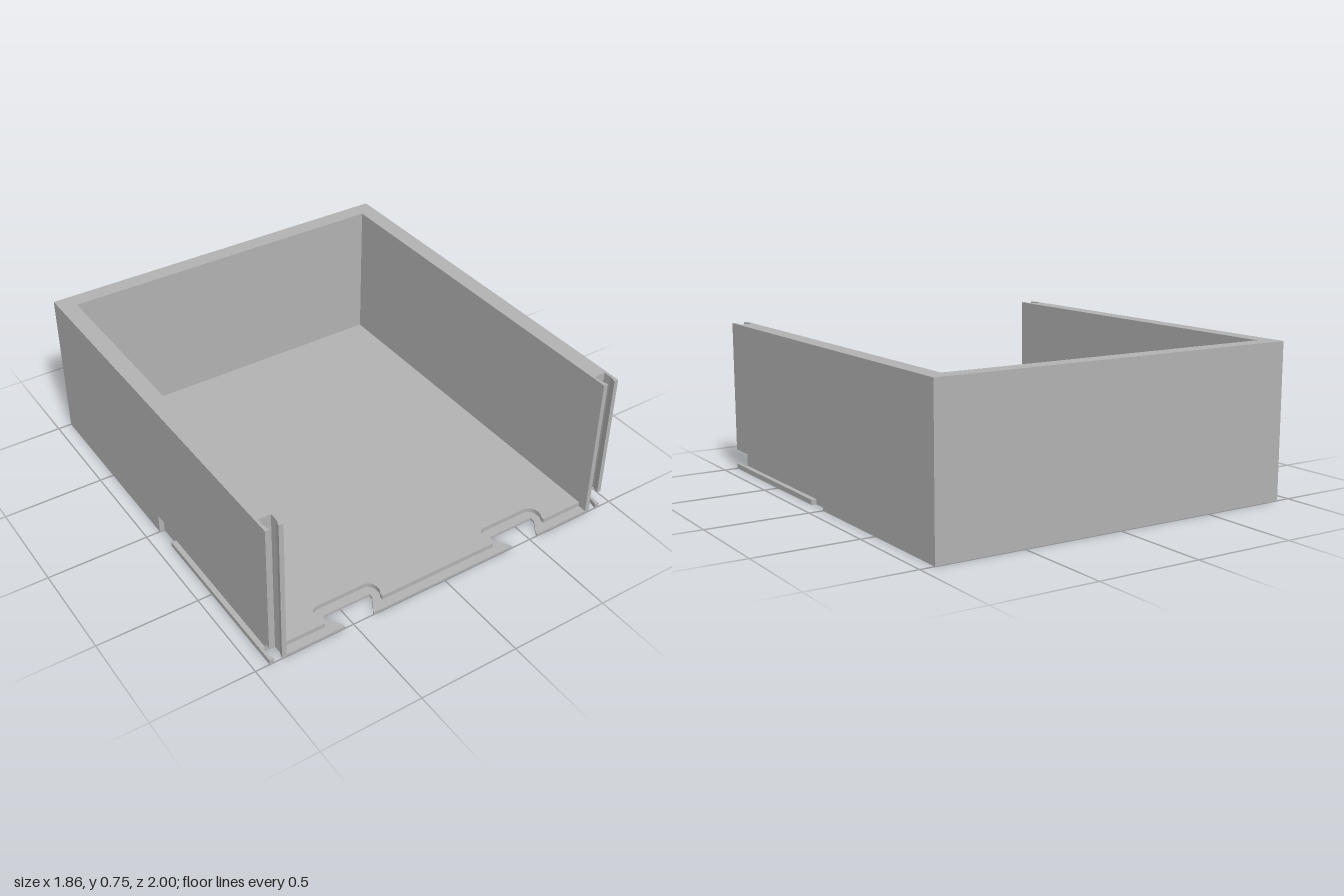
import * as THREE from 'three';

const W = 0.93, IN = 0.845, SLOT = 0.905; // outer face, inner face, slot depth (x)
const BACK = -0.915, LIP = 0.012, LEDGE = 0.025, FLOOR = 0.035, BAND = 0.1, TOP = 0.755;

export function createModel() {
  const group = new THREE.Group();
  group.name = 'openTray';
  const grey = new THREE.MeshStandardMaterial({ color: 0xb2b2b2 });
  grey.name = 'plain grey';

  // Extrudes an [x, z] outline upwards from y0 to y1
  const slab = (name, outline, y0, y1, side = 1) => {
    const shape = new THREE.Shape(outline.map(([x, z]) => new THREE.Vector2(x * side, -z)));
    const geo = new THREE.ExtrudeGeometry(shape, { depth: y1 - y0, bevelEnabled: false });
    geo.rotateX(-Math.PI / 2).translate(0, y0, 0);
    const mesh = new THREE.Mesh(geo, grey);
    mesh.name = name;
    group.add(mesh);
  };

  // Floor outline whose front edge carries two cut-outs
  const floorOutline = (front, cutout) => {
    const pts = [[-IN, BACK], [-IN, front]];
    for (const cx of [-0.468, 0.468]) for (const [x, z] of cutout) pts.push([cx + x, z]);
    pts.push([IN, front], [IN, BACK]);
    return pts;
  };

  // Dovetail notch in the thin front lip
  const dovetail = [[-0.077, 1], [-0.077, 0.99], [-0.125, 0.92], [-0.125, 0.895],
    [0.125, 0.895], [0.125, 0.92], [0.077, 0.99], [0.077, 1]];
  slab('floorLip', floorOutline(1, dovetail), 0, LIP);

  // Rounded recess around each notch in the upper floor layer
  const half = [[-0.153, 0.955], [-0.153, 0.938], [-0.165, 0.917]];
  for (let i = 0; i <= 6; i++) {
    const a = (i / 6) * Math.PI / 2;
    half.push([-0.12 - 0.045 * Math.cos(a), 0.893 - 0.045 * Math.sin(a)]);
  }
  const recess = [...half, ...half.map(([x, z]) => [-x, z]).reverse()];
  slab('floor', floorOutline(0.955, recess), LIP, FLOOR);

  // Back wall across the full width
  slab('backWall', [[-W, -1], [W, -1], [W, BACK], [-W, BACK]], 0, TOP);

  // Side walls with a dovetail groove in the front end and a stepped slot low outside
  const groove = [[0.908, 1], [0.917, 0.965], [0.917, 0.925], [0.857, 0.925], [0.857, 0.965], [0.868, 1]];
  const start = [[IN, BACK], [W, BACK]];
  const end = [[IN, 1]];
  const wall = [...start, [W, 1], ...groove, ...end];
  const slotted = [...start, [W, 0], [SLOT, 0], [SLOT, 0.925], ...groove.slice(3), ...end];
  const ledge = [...start, [W, 0], [SLOT, 0], [SLOT, 0.12], [W, 0.12], [W, 1], ...groove, ...end];
  for (const [side, label] of [[1, 'left'], [-1, 'right']]) {
    slab(label + 'WallLedge', ledge, 0, LEDGE, side);
    slab(label + 'WallSlot', slotted, LEDGE, BAND, side);
    slab(label + 'Wall', wall, BAND, TOP, side);
  }
  return group;
}
